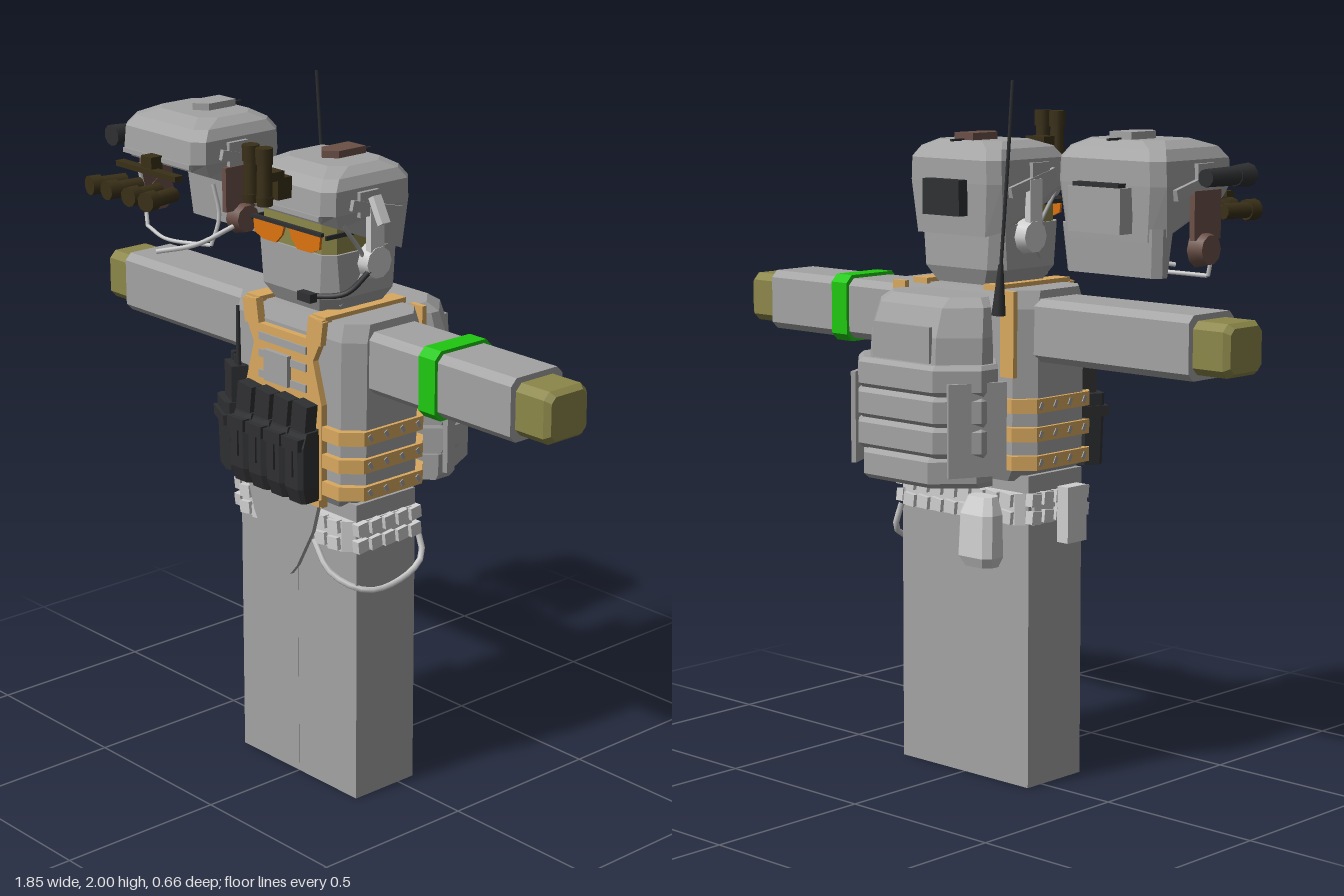
import * as THREE from 'three';

const material = (name, color, side = THREE.FrontSide) => {
  const m = new THREE.MeshStandardMaterial({ color, side });
  m.name = name;
  return m;
};

export function createModel() {
  const root = new THREE.Group();
  root.name = 'soldier';
  const grey = material('grey', 0xa3a3a3), pale = material('paleGrey', 0xcfcfcf);
  const black = material('black', 0x2f3032), tan = material('tan', 0xd9a95f);
  const olive = material('olive', 0x8c874a), orange = material('orange', 0xdc730f);
  const green = material('green', 0x1fc810), bronze = material('darkBronze', 0x3a3018);
  const brown = material('brown', 0x6b5047);

  const add = (parent, name, geo, mat, x = 0, y = 0, z = 0, rx = 0, ry = 0, rz = 0) => {
    const m = new THREE.Mesh(geo, mat);
    m.name = name;
    m.position.set(x, y, z);
    m.rotation.set(rx, ry, rz);
    parent.add(m);
    return m;
  };
  const group = (name, parent = root) => {
    const g = new THREE.Group();
    g.name = name;
    parent.add(g);
    return g;
  };
  const box = (p, name, mat, w, h, d, x, y, z, rx, ry, rz) =>
    add(p, name, new THREE.BoxGeometry(w, h, d), mat, x, y, z, rx, ry, rz);
  const cyl = (p, name, mat, r1, r2, h, x, y, z, rx, ry, rz) =>
    add(p, name, new THREE.CylinderGeometry(r1, r2, h, 10), mat, x, y, z, rx, ry, rz);
  const tube = (p, name, mat, r, ...pts) => add(p, name, new THREE.TubeGeometry(
    new THREE.CatmullRomCurve3(pts.map(a => new THREE.Vector3(...a))), 16, r, 6), mat);
  const plate = (p, name, mat, pts, depth, z) => {
    const s = new THREE.Shape(pts.map(a => new THREE.Vector2(...a)));
    return add(p, name, new THREE.ExtrudeGeometry(s, { depth, bevelEnabled: false }), mat, 0, 0, z);
  };
  // Faceted loft through chamfered rectangles: [y or y(z), half width, front z, back z, chamfer]
  const loft = (rows, bottom = true) => {
    const rings = rows.map(([y, x, f, b, c]) => [
      [c - x, f], [x - c, f], [x, f - c], [x, b + c], [x - c, b], [c - x, b], [-x, b + c], [-x, f - c],
    ].map(([px, pz]) => [px, typeof y === 'function' ? y(pz) : y, pz]));
    const pos = [];
    const tri = (...v) => v.forEach(p => pos.push(...p));
    for (let k = 0; k + 1 < rings.length; k++) {
      for (let i = 0; i < 8; i++) {
        const j = (i + 1) % 8, lo = rings[k], hi = rings[k + 1];
        tri(lo[i], lo[j], hi[j]);
        tri(lo[i], hi[j], hi[i]);
      }
    }
    const top = rings[rings.length - 1];
    for (let i = 1; i < 7; i++) {
      tri(top[0], top[i], top[i + 1]);
      if (bottom) tri(rings[0][0], rings[0][i + 1], rings[0][i]);
    }
    const g = new THREE.BufferGeometry();
    g.setAttribute('position', new THREE.Float32BufferAttribute(pos, 3));
    g.computeVertexNormals();
    return g;
  };

  // Legs and torso
  for (const s of [-1, 1]) box(root, 'leg', grey, 0.248, 0.9, 0.222, s * 0.1245, 0.45, 0.053);
  add(root, 'torso', loft([[0.88, 0.2, 0.17, -0.07, 0.02], [0.92, 0.265, 0.195, -0.09, 0.05],
    [1.37, 0.27, 0.195, -0.095, 0.05], [1.42, 0.265, 0.18, -0.08, 0.05]]), grey);

  // Arms with bevelled hands; a band on the left arm
  for (const s of [-1, 1]) {
    const arm = group('arm');
    arm.rotation.z = -s * Math.PI / 2;
    arm.position.y = 1.31;
    add(arm, 'sleeve', loft([[0.2, 0.088, 0.138, -0.052, 0.02], [0.81, 0.088, 0.138, -0.052, 0.02]]), grey);
    add(arm, 'hand', loft([[0.8, 0.072, 0.12, -0.035, 0.02], [0.91, 0.072, 0.12, -0.035, 0.02],
      [0.927, 0.06, 0.108, -0.023, 0.016]]), olive);
    if (s > 0) add(arm, 'armBand', loft([[0.475, 0.098, 0.148, -0.062, 0.022],
      [0.538, 0.098, 0.148, -0.062, 0.022]]), green);
  }

  // Plate carrier
  const vest = group('vest');
  const half = [[0.1, 1.36], [0.11, 1.425], [0.165, 1.425], [0.155, 1.36], [0.125, 1.3], [0.16, 1.18], [0.16, 0.88]];
  plate(vest, 'frontPanel', tan, [...half, ...half.map(([x, y]) => [-x, y]).reverse()], 0.022, 0.193);
  for (const y of [1.215, 1.275, 1.325]) box(vest, 'chestWebbing', grey, 0.2, 0.022, 0.006, 0, y, 0.217);
  box(vest, 'chestPatch', grey, 0.1, 0.09, 0.014, -0.015, 1.25, 0.224);
  for (const s of [-1, 1]) {
    box(vest, 'shoulderStrap', tan, 0.055, 0.016, 0.3, s * 0.138, 1.424, 0.055);
    box(vest, 'strapPad', tan, 0.06, 0.07, 0.02, s * 0.135, 1.39, 0.208, 0, 0, s * -0.15);
    box(vest, 'rearStrap', tan, 0.05, 0.24, 0.016, s * 0.21, 1.3, -0.1);
  }
  [0.94, 1.02, 1.1].forEach(y => {
    add(vest, 'sideBand', loft([[y - 0.02, 0.278, 0.213, -0.107, 0.05], [y + 0.02, 0.278, 0.213, -0.107, 0.05]]), tan);
    for (const s of [-1, 1]) for (let i = 0; i < 4; i++)
      box(vest, 'bandStitch', grey, 0.006, 0.02, 0.012, s * 0.278, y, 0.14 - i * 0.06, 0.5);
  });
  box(vest, 'lowerFrontTrim', tan, 0.32, 0.02, 0.03, 0, 0.895, 0.21);

  // Four magazine pouches with flaps and magazines
  for (let i = 0; i < 4; i++) {
    const x = -0.11 + i * 0.078;
    add(vest, 'magazinePouch', loft([[0.905, 0.034, 0.28, 0.215, 0.01], [0.95, 0.038, 0.295, 0.215, 0.012],
      [1.07, 0.038, 0.295, 0.215, 0.012], [1.11, 0.035, 0.28, 0.215, 0.012]]), black, x);
    box(vest, 'pouchFlap', black, 0.068, 0.035, 0.078, x, 1.08, 0.262);
    box(vest, 'magazine', black, 0.06, 0.1, 0.04, x, 1.14, 0.248, 0, 0, -0.12);
    box(vest, 'pouchTab', black, 0.018, 0.09, 0.008, x, 1.03, 0.297);
  }

  // Radio on the right of the chest
  const radio = group('radio');
  radio.position.set(-0.225, 0, 0.2);
  radio.rotation.y = -0.45;
  add(radio, 'radioPouch', loft([[0.905, 0.05, 0.04, -0.03, 0.012], [1.11, 0.054, 0.045, -0.03, 0.012]]), black);
  box(radio, 'radioBody', black, 0.08, 0.13, 0.05, 0.01, 1.15, 0);
  box(radio, 'radioFlap', black, 0.115, 0.03, 0.085, 0, 1.06, 0.01);
  for (const x of [-0.02, 0.015]) cyl(radio, 'radioKnob', black, 0.009, 0.009, 0.03, x, 1.225, 0);
  cyl(radio, 'shortAntenna', black, 0.005, 0.008, 0.18, 0.035, 1.3, 0);

  // Backpack: upper compartment and stacked lower bands
  const pack = group('backpack');
  add(pack, 'upperPack', loft([[1.15, 0.22, -0.08, -0.31, 0.09], [1.3, 0.215, -0.08, -0.3, 0.09],
    [1.38, 0.2, -0.08, -0.27, 0.08], [1.405, 0.17, -0.08, -0.23, 0.06]]), grey);
  for (let i = 0; i < 4; i++) {
    const y = 0.885 + i * 0.085;
    const w = i === 0 ? 0.215 : 0.235;
    add(pack, 'packBand', loft([[y, w, -0.08, -0.315, 0.09], [y + 0.015, w + 0.005, -0.08, -0.335, 0.095],
      [y + 0.075, w + 0.005, -0.08, -0.335, 0.095], [y + 0.087, w - 0.005, -0.08, -0.32, 0.09]]), grey);
  }
  box(pack, 'packLid', grey, 0.22, 0.1, 0.012, 0, 1.28, -0.306);
  for (const s of [-1, 1]) box(pack, 'packSideFlap', grey, 0.014, 0.26, 0.17, s * 0.222, 1.05, -0.24, 0, s * 0.45);

  // Long antenna
  cyl(root, 'antennaBase', black, 0.007, 0.02, 0.14, -0.232, 1.43, -0.16, 0, 0, 0.06);
  tube(root, 'longAntenna', black, 0.005, [-0.235, 1.48, -0.16], [-0.248, 1.75, -0.148], [-0.26, 2, -0.14]);

  // Belt, groin flap, pouch, holster and cord
  const belt = group('belt');
  add(belt, 'beltBand', loft([[0.76, 0.255, 0.19, -0.08, 0.04], [0.85, 0.255, 0.19, -0.08, 0.04]]), pale);
  for (const y of [0.782, 0.832]) {
    for (let i = 0; i < 8; i++) for (const z of [0.193, -0.083])
      box(belt, 'beltPad', pale, 0.042, 0.036, 0.02, -0.19 + i * 0.0543, y, z, 0, 0, 0.12);
    for (let i = 0; i < 5; i++) for (const s of [-1, 1])
      box(belt, 'beltPad', pale, 0.026, 0.036, 0.038, s * 0.256, y, -0.045 + i * 0.05, 0.12);
  }
  plate(belt, 'groinFlap', grey, [[-0.15, 0.885], [-0.125, 0.8], [-0.06, 0.68], [-0.03, 0.645], [0, 0.635],
    [0.03, 0.645], [0.06, 0.68], [0.125, 0.8], [0.15, 0.885]], 0.014, 0.207);
  add(belt, 'rearPouch', loft([[0.64, 0.05, -0.09, -0.155, 0.018], [0.67, 0.065, -0.085, -0.17, 0.02],
    [0.79, 0.062, -0.085, -0.165, 0.02], [0.84, 0.045, -0.09, -0.145, 0.016]]), pale, -0.13);
  box(belt, 'holster', pale, 0.04, 0.16, 0.08, -0.297, 0.785, 0.07);
  box(belt, 'holsterMount', pale, 0.04, 0.05, 0.05, -0.265, 0.82, 0.07);
  tube(belt, 'cord', pale, 0.009, [0.11, 0.77, 0.2], [0.18, 0.69, 0.2], [0.262, 0.645, 0.14],
    [0.268, 0.65, 0], [0.25, 0.69, -0.085], [0.22, 0.77, -0.09]);

  // Head: masked lower face, skin around the eyes, tinted glasses
  const head = group('head');
  add(head, 'mask', loft([[1.425, 0.13, 0.16, -0.07, 0.04], [1.47, 0.158, 0.183, -0.09, 0.04],
    [1.595, 0.158, 0.185, -0.09, 0.03]]), grey);
  add(head, 'upperFace', loft([[1.59, 0.15, 0.178, -0.09, 0.03], [1.74, 0.15, 0.178, -0.09, 0.03]]), olive);
  box(head, 'glassesFrame', black, 0.29, 0.01, 0.012, 0, 1.657, 0.196);
  for (const s of [-1, 1]) {
    const pts = [[0.01, 1.652], [0.14, 1.652], [0.135, 1.615], [0.1, 1.6], [0.045, 1.6], [0.02, 1.625]].map(([x, y]) => [s * x, y]);
    plate(head, 'lens', orange, pts, 0.008, 0.192);
    box(head, 'glassesArm', black, 0.006, 0.012, 0.15, s * 0.156, 1.65, 0.12);
    cyl(head, 'earCup', pale, 0.045, 0.052, 0.04, s * 0.172, 1.56, 0.03, 0, 0, -s * Math.PI / 2);
    box(head, 'earCupArm', pale, 0.02, 0.14, 0.05, s * 0.18, 1.65, 0.035);
    tube(head, 'chinStrap', grey, 0.006, [s * 0.165, 1.68, 0.14], [s * 0.165, 1.55, 0.06], [s * 0.14, 1.445, 0.13]);
  }
  tube(head, 'microphoneBoom', black, 0.008, [0.185, 1.54, 0.06], [0.175, 1.49, 0.14], [0.08, 1.475, 0.205]);
  box(head, 'microphone', black, 0.055, 0.025, 0.025, 0.09, 1.476, 0.205);

  // Open helmet shell with sloping lower rim, shared by both helmets
  const helmet = (name, knobMat) => {
    const g = group(name);
    const rim = z => 1.56 + (z + 0.12) * 0.4;
    add(g, 'shell', loft([[rim, 0.165, 0.19, -0.11, 0.035], [1.71, 0.175, 0.205, -0.12, 0.03],
      [1.775, 0.172, 0.2, -0.12, 0.03], [1.805, 0.155, 0.175, -0.1, 0.03],
      [1.825, 0.12, 0.12, -0.07, 0.04]], false), grey);
    box(g, 'brim', grey, 0.29, 0.014, 0.014, 0, 1.703, 0.203);
    plate(g, 'topKnob', knobMat, [[-0.036, -0.06], [0.036, -0.06], [0.036, 0.04], [0, 0.07], [-0.036, 0.04]], 0.022, 0)
      .rotation.set(Math.PI / 2, 0, 0);
    g.children[2].position.y = 1.845;
    box(g, 'topCable', black, 0.008, 0.006, 0.06, 0, 1.826, -0.08);
    for (const s of [-1, 1]) {
      box(g, 'sideRail', grey, 0.018, 0.03, 0.19, s * 0.178, 1.71, 0.03, -0.25);
      box(g, 'railPad', grey, 0.014, 0.07, 0.07, s * 0.178, 1.73, 0.06);
    }
    return g;
  };

  // Worn helmet with raised night-vision tubes
  const worn = helmet('wornHelmet', brown);
  box(worn, 'rearPack', black, 0.14, 0.1, 0.035, 0, 1.67, -0.135);
  box(worn, 'visionMount', bronze, 0.05, 0.06, 0.05, 0, 1.77, 0.225);
  box(worn, 'visionBridge', bronze, 0.07, 0.025, 0.06, 0, 1.81, 0.265);
  for (const s of [-1, 1]) {
    cyl(worn, 'visionTube', bronze, 0.02, 0.022, 0.1, s * 0.028, 1.8, 0.3);
    cyl(worn, 'visionLens', bronze, 0.024, 0.024, 0.045, s * 0.028, 1.872, 0.3);
    cyl(worn, 'visionEyepiece', bronze, 0.024, 0.022, 0.025, s * 0.028, 1.748, 0.3);
  }
  box(worn, 'sideLight', pale, 0.022, 0.08, 0.03, 0.212, 1.715, 0.05, 0, 0, 0.5);

  // Spare helmet floating beside the head
  const spare = helmet('spareHelmet', grey);
  spare.position.set(-0.605, 0.028, -0.035);
  spare.scale.x = 1.06;
  box(spare, 'rearPack', grey, 0.17, 0.12, 0.05, 0, 1.645, -0.14);
  box(spare, 'rearPackTop', black, 0.15, 0.012, 0.03, 0, 1.71, -0.145);
  add(spare, 'rearSkirt', loft([[1.47, 0.155, -0.04, -0.1, 0.02], [1.6, 0.165, -0.03, -0.11, 0.02]], false), grey);
  box(spare, 'visionBar', bronze, 0.26, 0.016, 0.03, 0, 1.672, 0.235);
  box(spare, 'visionMount', bronze, 0.045, 0.05, 0.04, 0, 1.69, 0.225);
  [-0.115, -0.045, 0.045, 0.115].forEach(x => {
    const turn = x * 1.6;
    cyl(spare, 'visionTube', bronze, 0.022, 0.022, 0.1, x, 1.623, 0.285, Math.PI / 2, 0, -turn);
    cyl(spare, 'visionLens', bronze, 0.029, 0.029, 0.035, x * 1.05, 1.623, 0.335, Math.PI / 2, 0, -turn);
  });
  for (const s of [-1, 1]) {
    cyl(spare, 'earCup', brown, 0.04, 0.05, 0.04, s * 0.19, 1.54, 0.05, 0, 0, -s * Math.PI / 2);
    box(spare, 'earCupArm', brown, 0.016, 0.13, 0.11, s * 0.182, 1.63, 0.06);
    tube(spare, 'strap', pale, 0.006, [s * 0.165, 1.65, 0.14], [s * 0.165, 1.55, 0.12], [s * 0.14, 1.46, 0.13]);
  }
  tube(spare, 'chinStrap', pale, 0.006, [-0.14, 1.46, 0.13], [0, 1.455, 0.17], [0.14, 1.46, 0.13]);
  tube(spare, 'microphoneBoom', pale, 0.007, [0.19, 1.52, 0.09], [0.16, 1.48, 0.2], [0.09, 1.46, 0.29]);
  cyl(spare, 'flashlight', black, 0.026, 0.024, 0.13, -0.215, 1.73, 0.08, Math.PI / 2);
  cyl(spare, 'flashlightHead', black, 0.032, 0.028, 0.06, -0.215, 1.73, 0.165, Math.PI / 2);
  box(spare, 'flashlightMount', black, 0.04, 0.03, 0.05, -0.19, 1.72, 0.08);

  return root;
}
